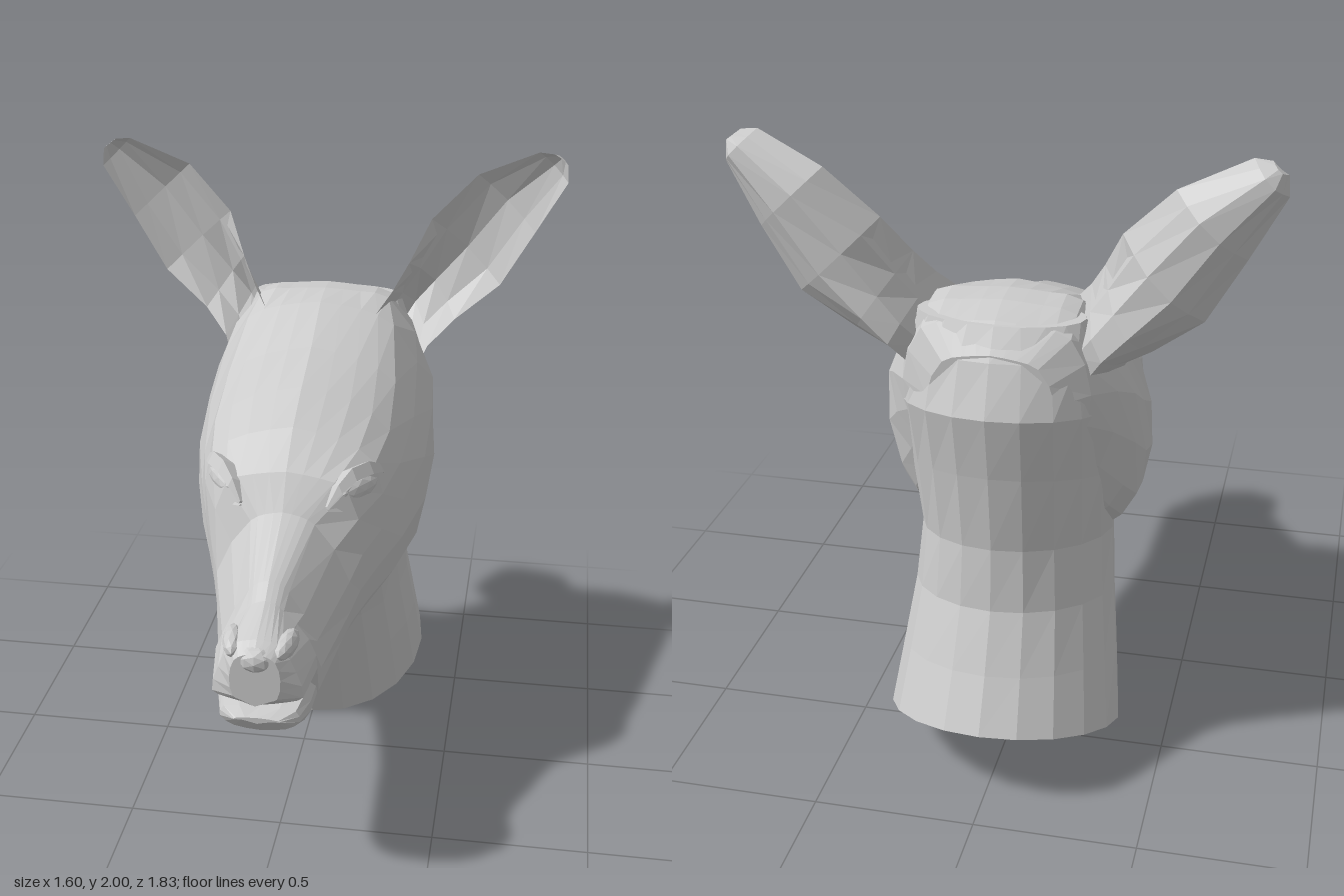
import * as THREE from 'three';

const material = new THREE.MeshStandardMaterial({ color: 0xcccccc, flatShading: true, side: THREE.DoubleSide });
const V = (x, y, z) => new THREE.Vector3(x, y, z);

function part(name, geometry) {
  const mesh = new THREE.Mesh(geometry, material);
  mesh.name = name;
  return mesh;
}

// Skin a list of equal-length closed rings, capping both ends and facing outward.
function loft(name, rings) {
  const n = rings[0].length, last = (rings.length - 1) * n, tris = [];
  const centre = (ring) => ring.reduce((s, p) => s.add(p), V(0, 0, 0)).divideScalar(n);
  const points = [...rings.flat(), centre(rings[0]), centre(rings[rings.length - 1])];
  for (let i = 0; i < n; i++) {
    const j = (i + 1) % n;
    for (let r = 0; r < last; r += n) tris.push([r + i, r + j, r + j + n], [r + i, r + j + n, r + i + n]);
    tris.push([last + n, j, i], [last + n + 1, last + i, last + j]);
  }
  let volume = 0;
  for (const [a, b, c] of tris) volume += points[a].dot(V(0, 0, 0).crossVectors(points[b], points[c]));
  if (volume < 0) tris.forEach((t) => t.reverse());
  const g = new THREE.BufferGeometry().setFromPoints(points);
  g.setIndex(tris.flat());
  g.computeVertexNormals();
  return part(name, g);
}

// Mirror a half outline (top centre to bottom centre) into a rounded ring.
function mirroredRing(half, steps) {
  const right = new THREE.CatmullRomCurve3(half).getPoints(steps);
  const left = right.slice(1, -1).reverse().map((p) => V(-p.x, p.y, p.z));
  return [...right, ...left];
}

// Skull and upper muzzle: z, top, ridge x, ridge y, cheek x, jaw x, bottom
function makeHead() {
  const rows = [
    [0.90, 0.875, 0.06, 0.85, 0.075, 0.065, 0.70],
    [0.86, 0.90, 0.075, 0.875, 0.115, 0.135, 0.68],
    [0.72, 0.95, 0.055, 0.92, 0.13, 0.155, 0.69],
    [0.66, 0.985, 0.06, 0.95, 0.145, 0.15, 0.54],
    [0.42, 1.095, 0.10, 1.06, 0.21, 0.19, 0.57],
    [0.35, 1.20, 0.19, 1.15, 0.24, 0.21, 0.58],
    [0.22, 1.295, 0.26, 1.19, 0.285, 0.25, 0.595],
    [0.05, 1.365, 0.285, 1.23, 0.335, 0.31, 0.61],
    [-0.15, 1.43, 0.28, 1.32, 0.385, 0.365, 0.64],
    [-0.35, 1.52, 0.25, 1.45, 0.39, 0.375, 0.68],
    [-0.46, 1.535, 0.22, 1.51, 0.38, 0.35, 0.77],
    [-0.55, 1.53, 0.22, 1.50, 0.34, 0.29, 0.90],
    [-0.64, 1.50, 0.22, 1.46, 0.28, 0.24, 1.02],
    [-0.71, 1.42, 0.14, 1.39, 0.19, 0.17, 1.10],
  ];
  return loft('head', rows.map(([z, top, rx, ry, cx, jx, bottom]) => {
    const h = ry - bottom;
    return mirroredRing([
      V(0, top, z), V(rx * 0.55, top - (top - ry) * 0.3, z), V(rx, ry, z), V(cx, bottom + h * 0.62, z),
      V(jx, bottom + h * 0.2, z), V(jx * 0.7, bottom + 0.02, z), V(0, bottom, z),
    ], 12);
  }));
}

// Lower jaw: z, top, half width, bottom
function makeJaw() {
  const rows = [
    [0.875, 0.645, 0.07, 0.625], [0.83, 0.655, 0.12, 0.575],
    [0.75, 0.675, 0.14, 0.537], [0.60, 0.71, 0.15, 0.54],
  ];
  return loft('lowerJaw', rows.map(([z, top, w, bottom]) => mirroredRing([
    V(0, top, z), V(w * 0.9, top - 0.005, z), V(w, (top + bottom) / 2, z), V(w * 0.65, bottom + 0.01, z), V(0, bottom, z),
  ], 8)));
}

// Neck: front z/y, back z/y, half width; the rings tilt with the neck and run up into the crown
function makeNeck() {
  const rows = [
    [-0.19, 0.00, -0.915, 0.26, 0.365], [-0.11, 0.25, -0.83, 0.42, 0.34],
    [-0.04, 0.45, -0.75, 0.60, 0.315], [0.04, 0.605, -0.73, 0.80, 0.30],
    [-0.08, 0.85, -0.755, 1.05, 0.31], [-0.22, 1.15, -0.785, 1.25, 0.32],
    [-0.35, 1.37, -0.72, 1.40, 0.295], [-0.46, 1.50, -0.66, 1.49, 0.25],
  ];
  return loft('neck', rows.map(([fz, fy, bz, by, w]) => Array.from({ length: 20 }, (_, i) => {
    const a = (i / 20) * Math.PI * 2, t = (1 - Math.cos(a)) / 2;
    return V(w * Math.sin(a), fy + (by - fy) * t, fz + (bz - fz) * t);
  })));
}

// Cupped ear: inner edge xyz, outer edge xyz, depth of the back
function makeEar() {
  const rows = [
    [0.17, 1.46, -0.33, 0.31, 1.25, -0.39, 0.27],
    [0.235, 1.545, -0.41, 0.355, 1.335, -0.48, 0.24],
    [0.285, 1.63, -0.475, 0.44, 1.41, -0.56, 0.17],
    [0.35, 1.76, -0.57, 0.59, 1.53, -0.60, 0.105],
    [0.50, 1.91, -0.61, 0.70, 1.72, -0.60, 0.085],
    [0.70, 2.00, -0.575, 0.80, 1.90, -0.58, 0.075],
    [0.75, 1.995, -0.575, 0.795, 1.96, -0.58, 0.04],
  ];
  return loft('ear', rows.map(([ax, ay, az, bx, by, bz, depth]) => {
    const a = V(ax, ay, az), b = V(bx, by, bz);
    const at = (t, d) => a.clone().lerp(b, t).add(V(0, 0, -d * Math.sin(Math.PI * t)));
    const back = [0, 0.17, 0.36, 0.64, 0.83, 1].map((t) => at(t, depth));
    const cup = [0.8, 0.5, 0.2].map((t) => at(t, Math.max(depth - 0.035, depth * 0.3)));
    return [...back, ...cup];
  }));
}

// Tapered lid following a few points
function makeLid(name, points, size) {
  const curve = new THREE.CatmullRomCurve3(points);
  return loft(name, Array.from({ length: 6 }, (_, i) => {
    const c = curve.getPoint(i / 5), r = size * (0.25 + Math.sin((i / 5) * Math.PI));
    return [V(0.8, -0.5, 0.5), V(0.1, 1, 0), V(-1.2, 0.2, -0.7), V(-0.8, -0.8, -0.5)]
      .map((d) => d.multiplyScalar(r).add(c));
  }));
}

// Faceted ellipsoid
function makeBlob(name, size, position, turn) {
  const blob = part(name, new THREE.IcosahedronGeometry(1, 1));
  blob.scale.copy(size);
  blob.position.copy(position);
  blob.rotation.y = turn;
  return blob;
}

// Everything that repeats on each side, built for +x
function makeSide(name) {
  const side = new THREE.Group();
  side.name = name;
  side.add(
    makeEar(),
    makeLid('upperEyelid', [V(0.135, 1.11, 0.40), V(0.185, 1.185, 0.345), V(0.255, 1.185, 0.24), V(0.285, 1.12, 0.13)], 0.02),
    makeLid('lowerEyelid', [V(0.135, 1.10, 0.40), V(0.205, 1.085, 0.33), V(0.255, 1.085, 0.24), V(0.285, 1.115, 0.13)], 0.012),
    makeBlob('eye', V(0.03, 0.04, 0.10), V(0.215, 1.13, 0.28), -0.55),
    makeBlob('nostrilWing', V(0.03, 0.035, 0.08), V(0.08, 0.865, 0.815), -0.15),
  );
  return side;
}

export function createModel() {
  const model = new THREE.Group();
  model.name = 'animalHead';
  const right = makeSide('rightFeatures');
  right.scale.x = -1;
  const nose = makeBlob('nosePad', V(0.06, 0.045, 0.045), V(0, 0.845, 0.87), 0);
  model.add(makeHead(), makeJaw(), makeNeck(), nose, makeSide('leftFeatures'), right);
  return model;
}
